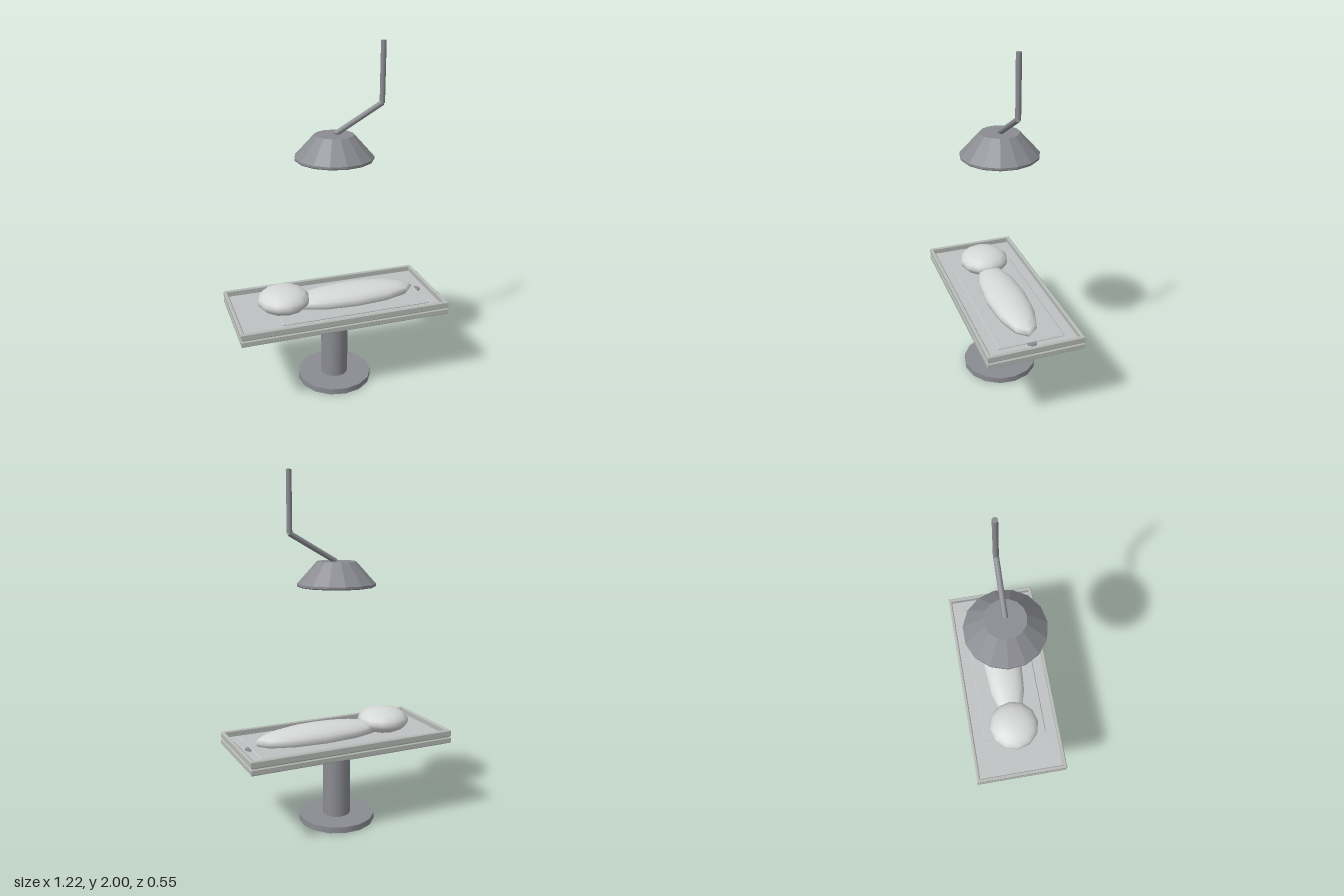
import * as THREE from 'three';

const material = (name, color) => {
  const m = new THREE.MeshStandardMaterial({ color });
  m.name = name;
  return m;
};

// Rectangle outline, usable as a shape or as a hole
function rectangle(halfX, halfZ, Type = THREE.Shape) {
  const p = new Type();
  p.moveTo(-halfX, -halfZ);
  p.lineTo(halfX, -halfZ);
  p.lineTo(halfX, halfZ);
  p.lineTo(-halfX, halfZ);
  p.closePath();
  return p;
}

// Bevelled horizontal slab between two heights, with an optional rectangular opening
function slab(halfX, halfZ, bottom, top, bevel, opening) {
  const shape = rectangle(halfX - bevel, halfZ - bevel);
  if (opening) shape.holes.push(rectangle(opening[0] + bevel, opening[1] + bevel, THREE.Path));
  const g = new THREE.ExtrudeGeometry(shape, {
    depth: top - bottom - 2 * bevel, bevelEnabled: true,
    bevelThickness: bevel, bevelSize: bevel, bevelSegments: 1,
  });
  g.rotateX(-Math.PI / 2);
  g.translate(0, bottom + bevel, 0);
  return g;
}

export function createModel() {
  const group = new THREE.Group();
  const metal = material('grey metal', 0x8b8c92);
  const steel = material('pale steel', 0xb6bab6);
  const tray = material('tray surface', 0xbfc1c2);
  const cloth = material('pale cloth', 0xd6d7d7);

  const add = (name, geometry, mat, x = 0, y = 0, z = 0) => {
    const mesh = new THREE.Mesh(geometry, mat);
    mesh.name = name;
    mesh.position.set(x, y, z);
    group.add(mesh);
    return mesh;
  };

  // Pedestal
  add('pedestalBase', new THREE.CylinderGeometry(0.22, 0.22, 0.035, 15), metal, 0, 0.0175, 0);
  add('pedestalColumn', new THREE.CylinderGeometry(0.08, 0.08, 0.43, 15), metal, 0, 0.245, 0);

  // Table: lower slab, recessed seam, rimmed tray and its floor
  add('tableSlab', slab(0.61, 0.275, 0.457, 0.492, 0.005), steel);
  add('tableSeam', new THREE.BoxGeometry(1.205, 0.012, 0.535), steel, 0, 0.493, 0);
  add('tableRim', slab(0.61, 0.275, 0.495, 0.535, 0.005, [0.59, 0.255]), steel);
  add('trayFloor', new THREE.BoxGeometry(1.19, 0.006, 0.52), tray, 0, 0.498, 0);
  add('mat', slab(0.443, 0.192, 0.499, 0.511, 0.005), tray, 0.082, 0, 0);
  add('drain', new THREE.CylinderGeometry(0.028, 0.028, 0.008, 15), metal, 0.525, 0.503, 0);

  // Covered figure
  const ellipsoid = (name, x, y, rx, ry, rz) => {
    const mesh = add(name, new THREE.SphereGeometry(1, 12, 10), cloth, x, y, 0);
    mesh.scale.set(rx, ry, rz);
  };
  ellipsoid('figureHead', -0.307, 0.567, 0.152, 0.074, 0.15);
  ellipsoid('figureBody', 0.108, 0.532, 0.39, 0.067, 0.12);

  // Faceted lamp shade, hollow underneath
  const shadeMetal = metal.clone();
  shadeMetal.name = 'faceted grey metal';
  shadeMetal.flatShading = true;
  const profile = [[0.165, 1.392], [0.165, 1.376], [0.215, 1.376], [0.22, 1.381],
    [0.22, 1.393], [0.215, 1.398], [0.11, 1.514], [0, 1.514]];
  add('lampShade', new THREE.LatheGeometry(
    profile.map(([r, y]) => new THREE.Vector2(r, y)), 15), shadeMetal);
  const glass = add('lampGlass', new THREE.CircleGeometry(0.167, 30), cloth, 0, 1.39, 0);
  glass.rotation.x = Math.PI / 2;

  // Jointed lamp arm
  const rod = (name, from, to) => {
    const a = new THREE.Vector3(...from), b = new THREE.Vector3(...to);
    const dir = b.clone().sub(a);
    const mesh = add(name, new THREE.CylinderGeometry(0.015, 0.015, dir.length(), 12), metal);
    mesh.position.copy(a).add(b).multiplyScalar(0.5);
    mesh.quaternion.setFromUnitVectors(new THREE.Vector3(0, 1, 0), dir.normalize());
  };
  rod('lowerArm', [0.005, 1.515, 0], [0.277, 1.67, 0]);
  rod('upperArm', [0.275, 1.668, 0], [0.275, 2, 0]);

  return group;
}
